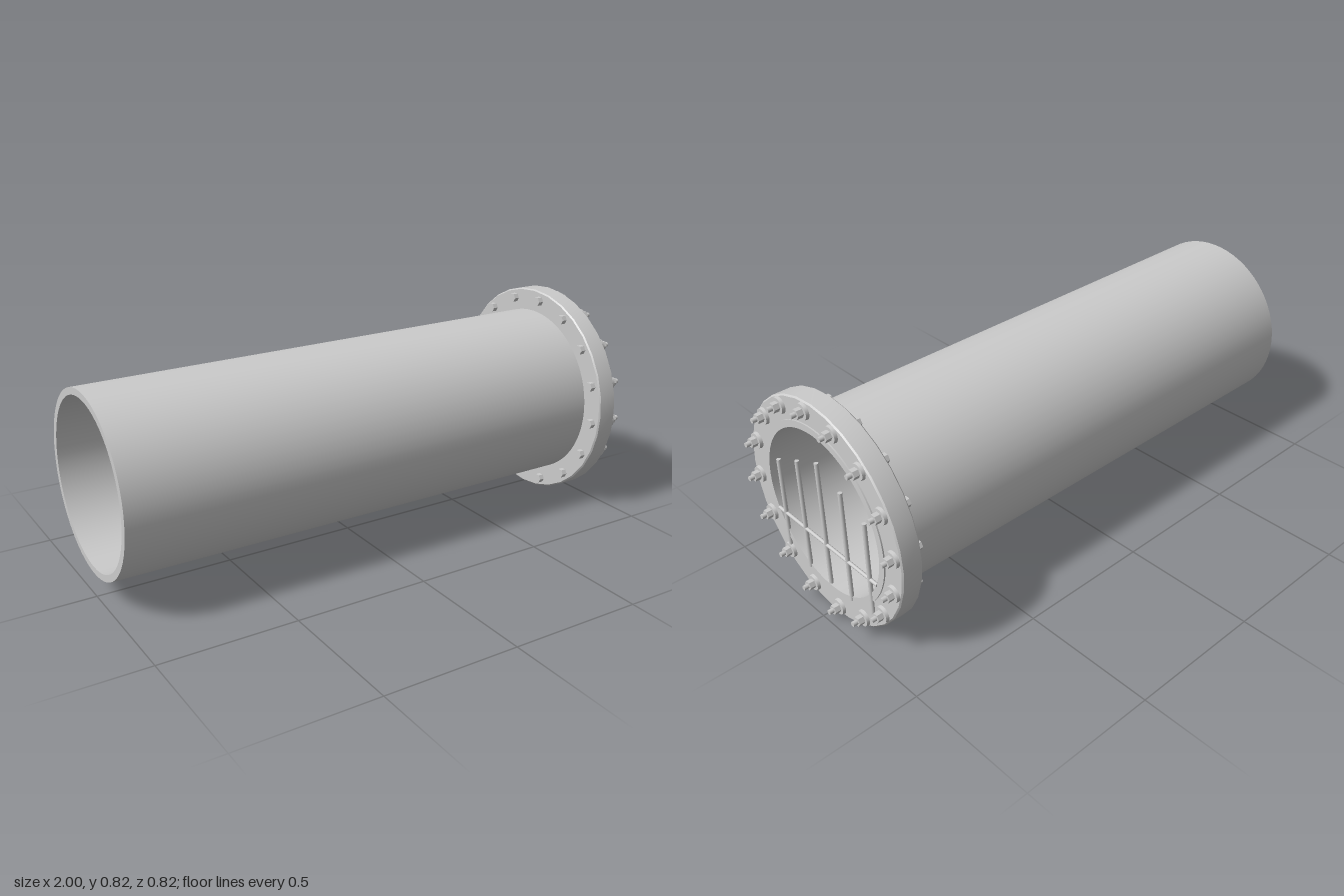
import * as THREE from 'three';
import { toCreasedNormals } from 'three/addons/utils/BufferGeometryUtils.js';

const AXIS_Y = 0.41;
const material = new THREE.MeshStandardMaterial({ color: 0xcccccc });

function part(name, geometry, parent) {
  const mesh = new THREE.Mesh(geometry, material);
  mesh.name = name;
  parent.add(mesh);
  return mesh;
}

// Closed ring profile of [radius, x] points turned about the x axis
function turned(points, segments) {
  const profile = points.map(([r, x]) => new THREE.Vector2(r, x));
  profile.push(profile[0].clone());
  return toCreasedNormals(new THREE.LatheGeometry(profile, segments), 0.5).rotateZ(-Math.PI / 2);
}

// Cylinder along x between two positions
function rodX(r0, r1, x0, x1, sides) {
  return new THREE.CylinderGeometry(r1, r0, x1 - x0, sides)
    .rotateZ(-Math.PI / 2).translate((x0 + x1) / 2, 0, 0);
}

export function createModel() {
  const model = new THREE.Group();
  model.name = 'flangedPipe';
  const body = new THREE.Group();
  body.name = 'pipeAssembly';
  body.position.y = AXIS_Y;
  model.add(body);

  // Pipe wall, standing slightly proud of the flange face
  part('pipe', turned([[0.3, -1], [0.325, -1], [0.325, 0.956], [0.3, 0.956]], 64), body);

  // Flange ring with small chamfers
  part('flange', turned([
    [0.324, 0.873], [0.405, 0.873], [0.41, 0.878],
    [0.41, 0.946], [0.405, 0.951], [0.324, 0.951],
  ], 32), body);

  // Sixteen bolts around the flange
  const hex = (r, x0, x1) => toCreasedNormals(rodX(r, r, x0, x1, 6), 0.3);
  const washer = rodX(0.03, 0.028, 0.95, 0.962, 20);
  const nut = hex(0.018, 0.962, 0.983);
  const stud = rodX(0.009, 0.009, 0.87, 1, 12);
  const head = hex(0.018, 0.853, 0.874);
  for (let i = 0; i < 16; i++) {
    const a = (i + 0.25) * Math.PI / 8;
    const bolt = new THREE.Group();
    bolt.name = 'bolt';
    bolt.position.set(0, 0.374 * Math.cos(a), 0.374 * Math.sin(a));
    part('washer', washer, bolt);
    part('nut', nut, bolt);
    part('stud', stud, bolt);
    part('boltHead', head, bolt);
    body.add(bolt);
  }

  // Grille: upright bars of stepped height and one cross bar
  const grille = new THREE.Group();
  grille.name = 'grille';
  model.add(grille);
  const bottom = 0.12;
  [[-0.235, 0.503], [-0.118, 0.556], [0, 0.607], [0.118, 0.556], [0.235, 0.503]].forEach(([z, top]) => {
    const bar = part('uprightBar', new THREE.CylinderGeometry(0.0075, 0.0075, top - bottom, 12), grille);
    bar.position.set(0.954, (top + bottom) / 2, z);
  });
  const cross = part('crossBar', new THREE.CylinderGeometry(0.0065, 0.0065, 0.55, 12).rotateX(Math.PI / 2), grille);
  cross.position.set(0.954, 0.283, 0);

  return model;
}
